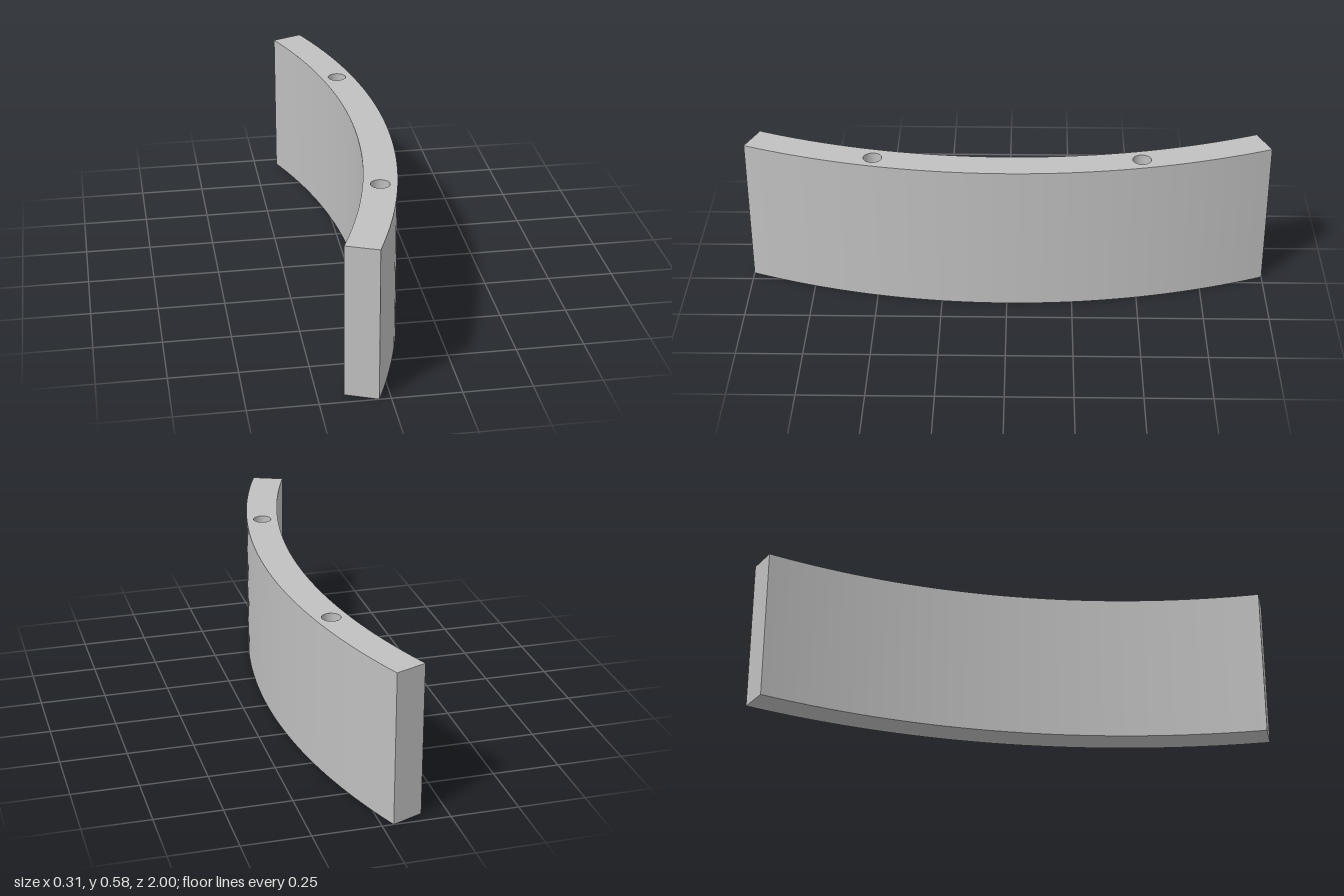
import * as THREE from 'three';

const H = 0.577;            // block height
const R_OUT = 2.637;        // outer (convex) radius
const R_IN = 2.513;         // inner (concave) radius
const R_MID = (R_OUT + R_IN) / 2;
const CX = 0.155 - R_OUT;   // arc centre on the x axis
const HALF = Math.asin(1 / R_OUT);
const HOLE_R = 0.035, HOLE_DEPTH = 0.25, HOLE_Z = 0.505;
const SEGMENTS = 48;

export function createModel() {
  const model = new THREE.Group();
  model.name = 'curvedBlock';
  const grey = new THREE.MeshStandardMaterial({ color: 0xc0c0c0, side: THREE.DoubleSide });
  grey.name = 'light grey';

  const add = (name, geometry, x, y, z) => {
    const mesh = new THREE.Mesh(geometry, grey);
    mesh.name = name;
    mesh.position.set(x, y, z);
    model.add(mesh);
    return mesh;
  };

  // Ring sector as seen from above, centred on the arc centre
  const sector = () => {
    const s = new THREE.Shape();
    s.absarc(0, 0, R_OUT, -HALF, HALF, false);
    s.absarc(0, 0, R_IN, HALF, -HALF, true);
    s.closePath();
    return s;
  };
  const holeX = Math.sqrt(R_MID ** 2 - HOLE_Z ** 2);

  // Top with two round openings, and plain underside
  const topShape = sector();
  for (const side of [1, -1]) {
    const hole = new THREE.Path();
    hole.absarc(holeX, side * HOLE_Z, HOLE_R, 0, Math.PI * 2, true);
    topShape.holes.push(hole);
  }
  add('topFace', new THREE.ShapeGeometry(topShape, SEGMENTS).rotateX(-Math.PI / 2), CX, H, 0);
  add('bottomFace', new THREE.ShapeGeometry(sector(), SEGMENTS).rotateX(Math.PI / 2), CX, 0, 0);

  // Convex and concave walls
  for (const [name, r] of [['outerWall', R_OUT], ['innerWall', R_IN]]) {
    add(name, new THREE.CylinderGeometry(r, r, H, SEGMENTS, 1, true,
      Math.PI / 2 - HALF, HALF * 2), CX, H / 2, 0);
  }

  for (const side of [1, -1]) {
    const label = side > 0 ? 'front' : 'back';
    // Flat radial end
    const end = add(label + 'End', new THREE.PlaneGeometry(R_OUT - R_IN, H),
      CX + R_MID * Math.cos(HALF), H / 2, side * R_MID * Math.sin(HALF));
    end.rotation.y = side > 0 ? -HALF : Math.PI + HALF;

    // Blind peg hole
    add(label + 'HoleWall', new THREE.CylinderGeometry(HOLE_R, HOLE_R, HOLE_DEPTH, SEGMENTS, 1, true),
      CX + holeX, H - HOLE_DEPTH / 2, side * HOLE_Z);
    add(label + 'HoleFloor', new THREE.CircleGeometry(HOLE_R, SEGMENTS).rotateX(-Math.PI / 2),
      CX + holeX, H - HOLE_DEPTH, side * HOLE_Z);
  }
  return model;
}
